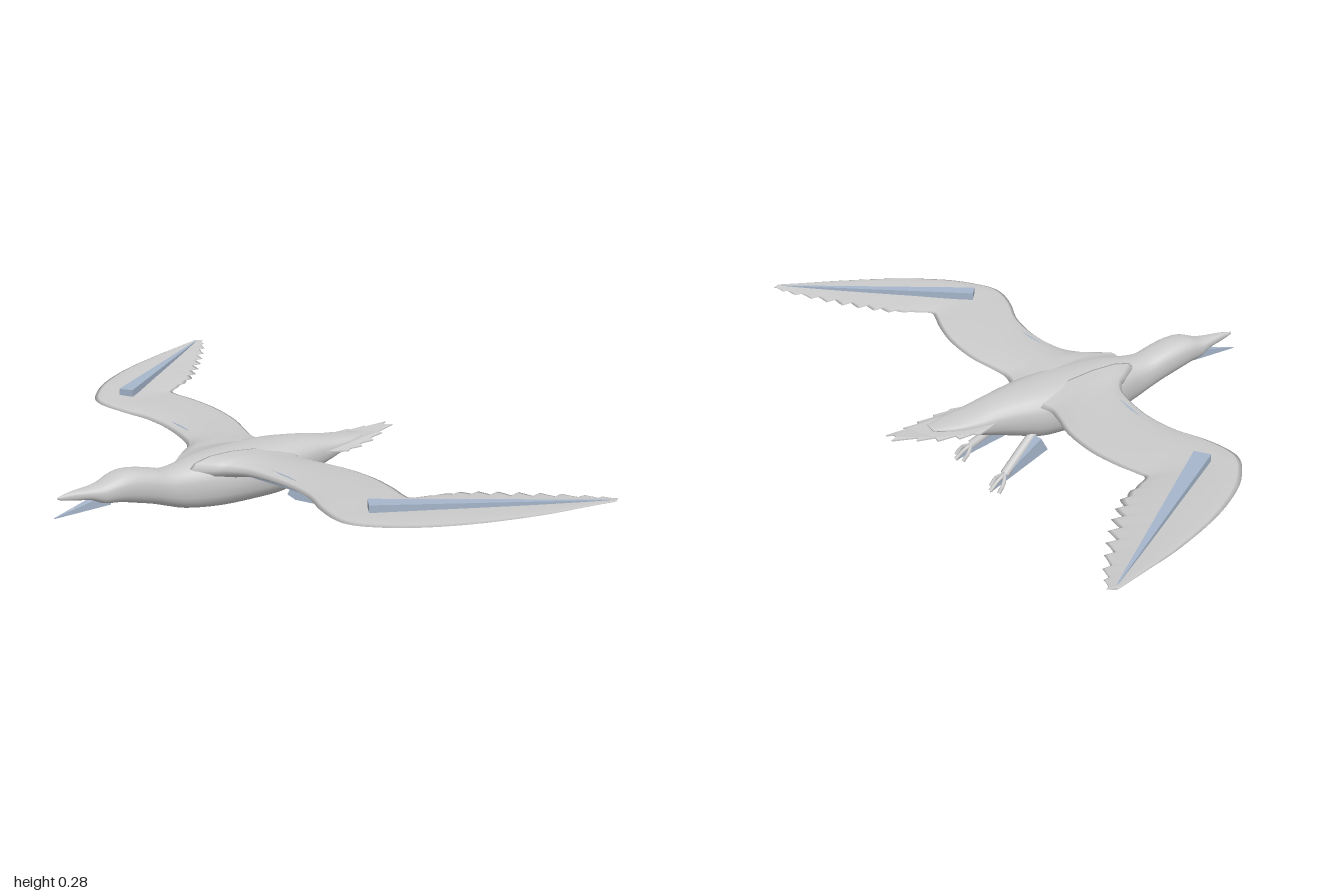
import * as THREE from 'three';

const grey = new THREE.MeshStandardMaterial({ color: 0xcccccc, side: THREE.DoubleSide });
const blue = new THREE.MeshStandardMaterial({ color: 0xa6b6cb, flatShading: true });
const V = (x, y, z) => new THREE.Vector3(x, y, z);

// Skin a series of equal-length closed rings, closing both ends with a fan.
function loft(rings) {
  const n = rings[0].length, pos = [], idx = [];
  rings.forEach(r => r.forEach(p => pos.push(p.x, p.y, p.z)));
  for (let i = 0; i < rings.length - 1; i++) {
    for (let j = 0; j < n; j++) {
      const a = i * n + j, b = i * n + (j + 1) % n;
      idx.push(a, a + n, b, b, a + n, b + n);
    }
  }
  const last = (rings.length - 1) * n;
  for (let j = 1; j < n - 1; j++) idx.push(0, j, j + 1, last, last + j + 1, last + j);
  const g = new THREE.BufferGeometry();
  g.setAttribute('position', new THREE.Float32BufferAttribute(pos, 3));
  g.setIndex(idx);
  g.computeVertexNormals();
  return g;
}

function add(parent, name, geometry, material = grey) {
  const m = new THREE.Mesh(geometry, material);
  m.name = name;
  parent.add(m);
  return m;
}

// Smoothly resample rows of numbers, one column at a time.
function resample(rows, steps) {
  const curves = rows[0].map((_, c) =>
    new THREE.CatmullRomCurve3(rows.map((r, i) => V(i, r[c], 0)), false, 'catmullrom', 0.5));
  return Array.from({ length: steps + 1 }, (_, i) => curves.map(c => c.getPoint(i / steps).y));
}

// Four-sided tapering rod running from a to b.
function rod(parent, name, a, b, r) {
  const dir = b.clone().sub(a), len = dir.length();
  dir.normalize();
  const g = new THREE.CylinderGeometry(r * 0.06, r, len, 4).rotateY(Math.PI / 4);
  const m = add(parent, name, g, blue);
  const side = V(0, 1, 0).cross(dir).normalize();
  m.quaternion.setFromRotationMatrix(
    new THREE.Matrix4().makeBasis(side, dir, side.clone().cross(dir)));
  m.position.copy(a).lerp(b, 0.5);
}

// Body with head and upper beak: z, half width, top y, bottom y
const bodyRows = [
  [0.595, 0.003, 0.227, 0.219], [0.55, 0.013, 0.234, 0.208], [0.5, 0.025, 0.236, 0.2],
  [0.46, 0.036, 0.242, 0.182], [0.41, 0.048, 0.26, 0.175], [0.36, 0.053, 0.262, 0.162],
  [0.3, 0.054, 0.25, 0.145], [0.25, 0.055, 0.237, 0.127], [0.2, 0.062, 0.24, 0.11],
  [0.14, 0.08, 0.25, 0.1], [0.06, 0.1, 0.254, 0.095], [-0.05, 0.107, 0.255, 0.093],
  [-0.14, 0.1, 0.252, 0.093], [-0.2, 0.086, 0.248, 0.108], [-0.28, 0.068, 0.238, 0.133],
  [-0.35, 0.058, 0.224, 0.155], [-0.42, 0.045, 0.215, 0.18], [-0.48, 0.02, 0.208, 0.202],
];
function bodyGeometry() {
  const pw = v => Math.sign(v) * Math.abs(v) ** 0.8;
  return loft(resample(bodyRows, 64).map(([z, w, top, low]) =>
    Array.from({ length: 24 }, (_, j) => {
      const t = j / 24 * Math.PI * 2, s = pw(Math.sin(t));
      return V(w * pw(Math.cos(t)) * (1 + 0.06 * s), (top + low) / 2 + s * (top - low) / 2, z);
    })));
}

// Wing stations: leading x, z; trailing x, z; height; thickness
const wingRows = [
  [0.04, 0.19, 0.04, -0.19, 0.215, 0.075], [0.08, 0.14, 0.09, -0.168, 0.218, 0.066],
  [0.11, 0.1, 0.13, -0.16, 0.221, 0.056], [0.17, 0.065, 0.18, -0.17, 0.225, 0.044],
  [0.3, 0.045, 0.28, -0.195, 0.231, 0.032], [0.42, 0.055, 0.4, -0.2, 0.237, 0.026],
  [0.52, 0.09, 0.5, -0.185, 0.242, 0.022], [0.6, 0.107, 0.565, -0.167, 0.245, 0.019],
  [0.66, 0.1, 0.6, -0.165, 0.248, 0.017], [0.72, 0.06, 0.625, -0.21, 0.252, 0.015],
  [0.78, 0, 0.66, -0.285, 0.257, 0.013], [0.84, -0.09, 0.715, -0.345, 0.262, 0.011],
  [0.89, -0.19, 0.78, -0.405, 0.267, 0.009], [0.94, -0.32, 0.85, -0.46, 0.273, 0.007],
  [0.97, -0.42, 0.925, -0.515, 0.279, 0.005], [1, -0.52, 0.985, -0.545, 0.285, 0.003],
];
function wingGeometry(side) {
  const steps = 120;
  const rings = resample(wingRows, steps).map(([lx, lz, tx, tz, y, th], i) => {
    // Saw-toothed feather tips along the outer trailing edge
    const u = i / steps, outer = Math.max(0, (u - 0.58) / 0.42);
    const notch = outer * 0.3 * (i % 5) / 4 * (1 - 0.5 * outer);
    const ring = Array.from({ length: 14 }, (_, j) => {
      const t = j / 14 * Math.PI * 2;
      const k = (1 - Math.cos(t)) / 2 * (1 - notch);
      const camber = Math.sin(t) * th / 2 * (1.3 - 0.7 * k);
      return V(side * (lx + (tx - lx) * k), y + camber + th * 0.2 * (1 - k), lz + (tz - lz) * k);
    });
    return side < 0 ? ring.reverse() : ring;
  });
  return loft(rings);
}

// Thin tail fan with jagged feather ends: half outline as x, z
const tailHalf = [
  [0.05, -0.25], [0.068, -0.31], [0.088, -0.37], [0.078, -0.385], [0.08, -0.43], [0.064, -0.435],
  [0.064, -0.49], [0.048, -0.49], [0.042, -0.545], [0.031, -0.535], [0.017, -0.61], [0.007, -0.59],
];
function tailGeometry() {
  const pts = [...tailHalf, ...tailHalf.map(([x, z]) => [-x, z]).reverse()];
  const shape = new THREE.Shape(pts.map(([x, z]) => new THREE.Vector2(x, -z)));
  const g = new THREE.ExtrudeGeometry(shape, { depth: 0.004, bevelEnabled: false });
  g.rotateX(-Math.PI / 2);
  const p = g.attributes.position;
  // Lift the root slightly and droop the outer edges
  for (let i = 0; i < p.count; i++) {
    const x = p.getX(i), z = p.getZ(i);
    p.setY(i, p.getY(i) + 0.206 + Math.max(0, -0.48 - z) * 0.06 - Math.abs(x) * 0.18);
  }
  g.computeVertexNormals();
  return g;
}

const tube = (pts, r) =>
  new THREE.TubeGeometry(new THREE.CatmullRomCurve3(pts), 8, r, 8);

export function createModel() {
  const bird = new THREE.Group();
  bird.name = 'bird';
  add(bird, 'body', bodyGeometry());
  add(bird, 'tail', tailGeometry());

  // Open lower beak and the jaw rod inside it
  const beak = new THREE.ConeGeometry(0.02, 0.13, 10).scale(1, 1, 0.5).rotateX(Math.PI / 2 + 0.1);
  add(bird, 'lowerBeak', beak).position.set(0, 0.187, 0.5);
  rod(bird, 'jawRod', V(0, 0.192, 0.44), V(0, 0.167, 0.61), 0.024);

  for (const s of [1, -1]) {
    const half = new THREE.Group();
    half.name = s > 0 ? 'leftLimbs' : 'rightLimbs';
    bird.add(half);
    add(half, 'wing', wingGeometry(s));
    rod(half, 'innerWingRod', V(s * 0.115, 0.225, 0), V(s * 0.62, 0.245, 0), 0.036);
    rod(half, 'outerWingRod', V(s * 0.62, 0.256, 0.005), V(s * 0.985, 0.285, -0.515), 0.034);

    // Leg, its rod and the spread toes
    const ankle = V(s * 0.1, 0.045, -0.3);
    add(half, 'leg', tube([V(s * 0.062, 0.125, -0.18), V(s * 0.08, 0.09, -0.235), ankle], 0.014));
    rod(half, 'legRod', V(s * 0.078, 0.105, -0.17), V(s * 0.105, 0.005, -0.352), 0.036);
    for (const d of [-0.022, 0, 0.024]) {
      const tip = V(s * (0.105 + d), 0.008, -0.352 + Math.abs(d) * 0.6);
      const mid = ankle.clone().lerp(tip, 0.5).add(V(s * d * 0.4, 0.004, 0));
      add(half, 'toe', tube([ankle, mid, tip], 0.006));
    }
  }
  return bird;
}
